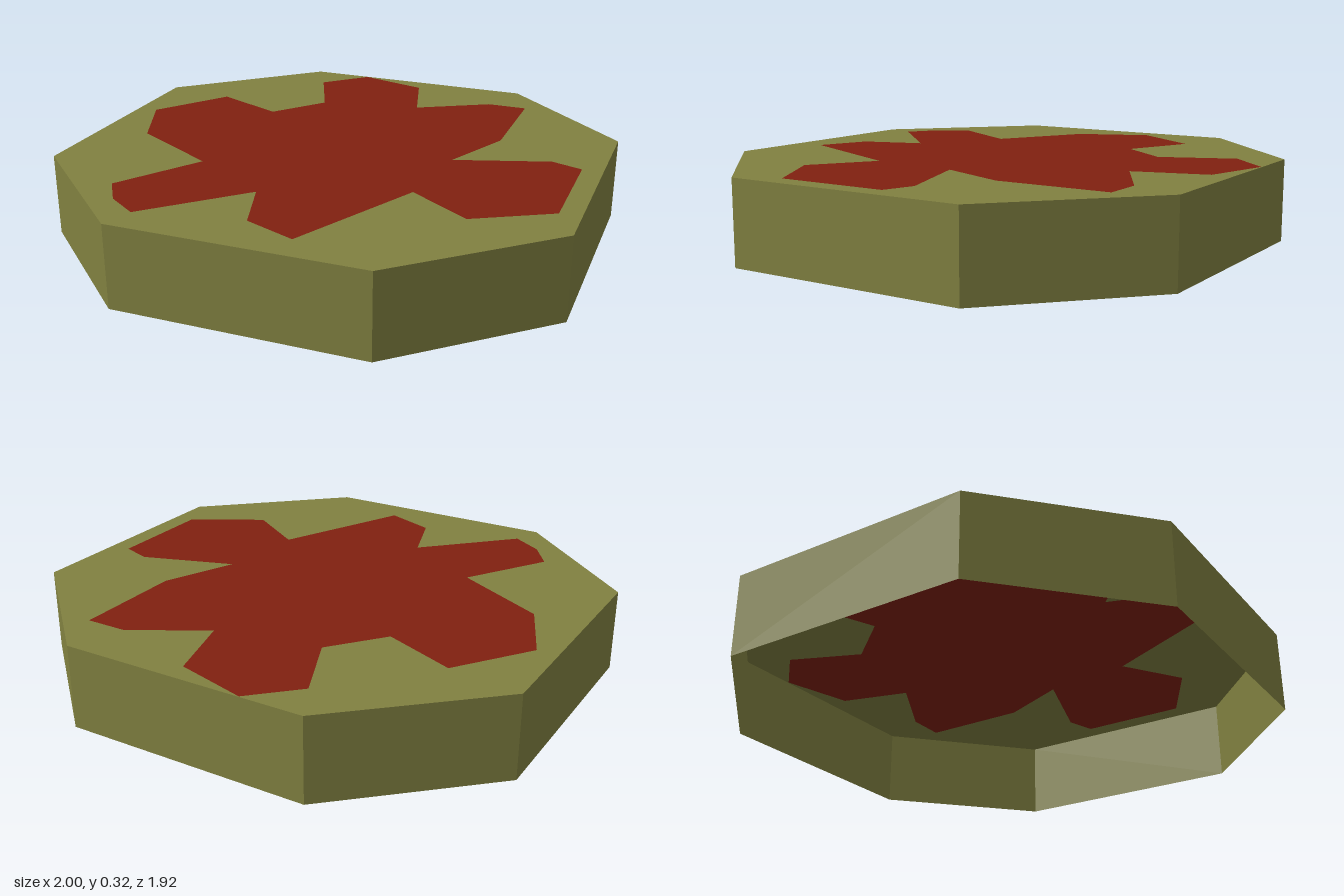
import * as THREE from 'three';

const HEIGHT = 0.32;

// Plan outlines as [x, z]; the rim runs anticlockwise seen from above.
const rim = [
  [-0.48, 0.96], [0.48, 0.96], [1, 0.48], [1, -0.48],
  [0.48, -0.96], [-0.48, -0.96], [-1, -0.48], [-1, 0.48],
];
const splat = [
  [-0.24, -0.957], [0.04, -0.88], [0.12, -0.6], [0.4, -0.76], [0.56, -0.76],
  [0.56, -0.32], [0.44, -0.04], [0.8, -0.16], [0.92, -0.12], [0.92, 0.32],
  [0.64, 0.48], [0.4, 0.32], [0.16, 0.84], [-0.04, 0.76], [-0.12, 0.52],
  [-0.44, 0.84], [-0.56, 0.76], [-0.64, 0.64], [-0.44, 0.32], [-0.8, 0.12],
  [-0.92, -0.16], [-0.72, -0.44], [-0.44, -0.32], [-0.28, -0.52], [-0.4, -0.8],
];

const toPoints = (outline) => outline.map(([x, z]) => new THREE.Vector2(x, -z));

// Horizontal sheet at the top height
function sheet(shape) {
  return new THREE.ShapeGeometry(shape).rotateX(-Math.PI / 2).translate(0, HEIGHT, 0);
}

// Upright flat panels, one per side of the outline
function wallBand(outline) {
  const pos = [];
  outline.forEach(([ax, az], i) => {
    const [bx, bz] = outline[(i + 1) % outline.length];
    pos.push(ax, 0, az, bx, 0, bz, bx, HEIGHT, bz);
    pos.push(ax, 0, az, bx, HEIGHT, bz, ax, HEIGHT, az);
  });
  const geometry = new THREE.BufferGeometry();
  geometry.setAttribute('position', new THREE.Float32BufferAttribute(pos, 3));
  geometry.computeVertexNormals();
  return geometry;
}

export function createModel() {
  const group = new THREE.Group();
  group.name = 'splatteredDisc';
  const olive = new THREE.MeshStandardMaterial({ color: 0x808040, side: THREE.DoubleSide });
  const red = new THREE.MeshStandardMaterial({ color: 0x802010, side: THREE.DoubleSide });

  const add = (name, geometry, material) => {
    const mesh = new THREE.Mesh(geometry, material);
    mesh.name = name;
    group.add(mesh);
  };

  // Side walls, open underneath
  add('sideWalls', wallBand(rim), olive);

  // Top plate, cut out where the splat is set flush into it
  const top = new THREE.Shape(toPoints(rim));
  top.holes.push(new THREE.Path(toPoints(splat)));
  add('topPlate', sheet(top), olive);

  // Star-like splat
  add('splat', sheet(new THREE.Shape(toPoints(splat))), red);

  return group;
}
